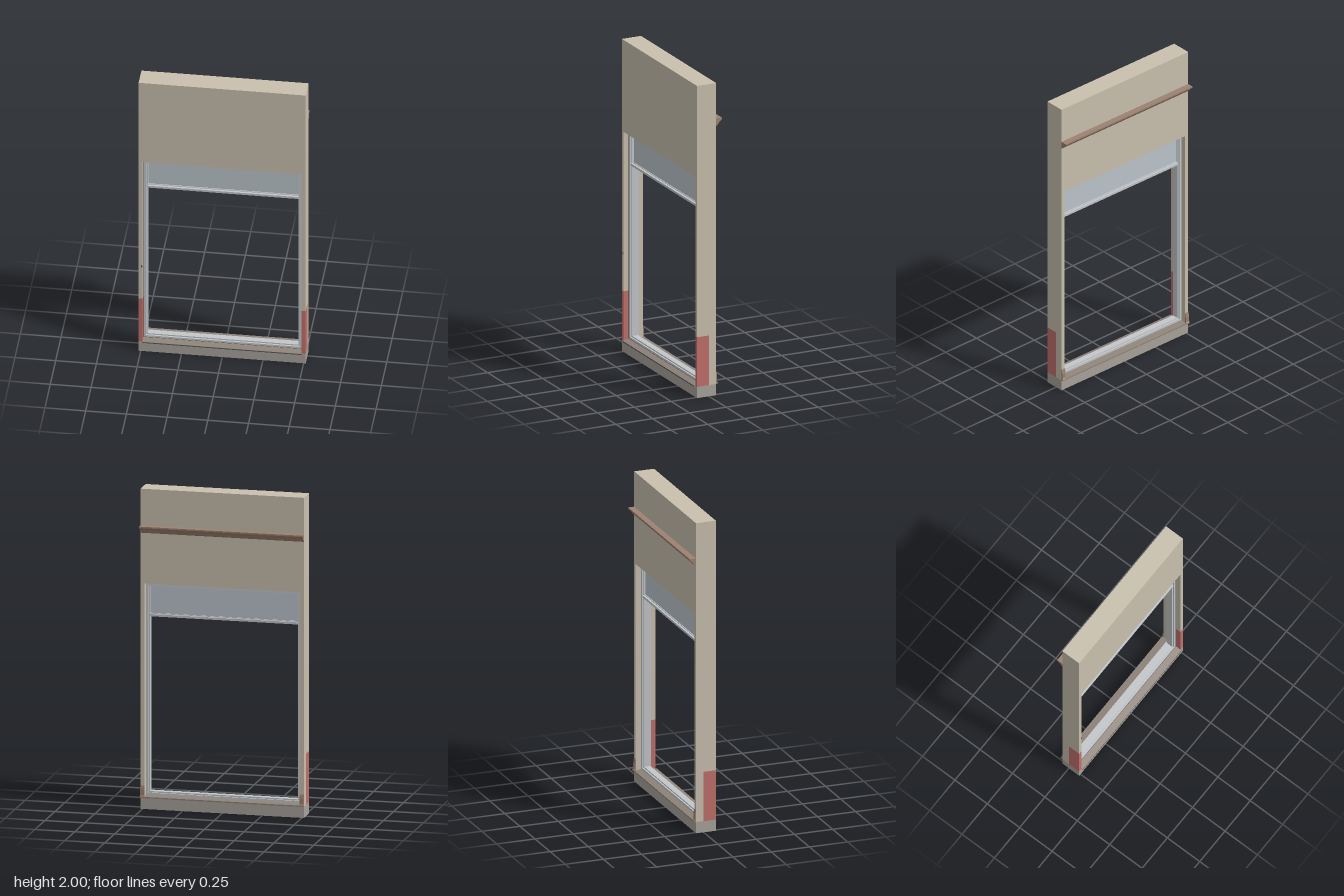
import * as THREE from 'three';

const mat = (name, color, side = THREE.FrontSide) => {
  const m = new THREE.MeshStandardMaterial({ color, side });
  m.name = name;
  return m;
};

export function createModel() {
  const model = new THREE.Group();
  model.name = 'windowWall';

  const plaster = mat('beige plaster', 0xc9c0ae);
  const stone = mat('grey base', 0xa8a29b);
  const red = mat('red insert', 0xc0706a);
  const frameMat = mat('pale grey frame', 0xc3c7ca);
  const glassMat = mat('blue grey pane', 0xbcc5cc);
  const brown = mat('brown trim', 0x9c8270);
  const sillMat = mat('taupe sill', 0x8f847a);
  const dark = mat('dark seal', 0x55565a);

  // Box given by its minimum and maximum on each axis
  const box = (name, m, x0, x1, y0, y1, z0, z1, parent = model) => {
    const mesh = new THREE.Mesh(new THREE.BoxGeometry(x1 - x0, y1 - y0, z1 - z0), m);
    mesh.position.set((x0 + x1) / 2, (y0 + y1) / 2, (z0 + z1) / 2);
    mesh.name = name;
    parent.add(mesh);
    return mesh;
  };
  // Profile of [z, y] points drawn along x
  const alongX = (name, m, shape, x0, x1) => {
    const geo = new THREE.ExtrudeGeometry(shape, { depth: x1 - x0, bevelEnabled: false, curveSegments: 8 });
    geo.rotateY(-Math.PI / 2); // shape x becomes z, depth becomes -x
    geo.translate(x1, 0, 0);
    const mesh = new THREE.Mesh(geo, m);
    mesh.name = name;
    model.add(mesh);
  };

  const W = 0.513, O = 0.488, BACK = -0.05, FRONT = 0.08;
  const BASE = 0.072, HEAD = 1.41, RED = 0.39;

  // Wall around the opening
  box('base', stone, -W, W, 0, BASE, BACK, FRONT);
  box('lintelWall', plaster, -W, W, HEAD, 2, BACK, FRONT);
  for (const [side, s] of [['left', 1], ['right', -1]]) {
    const a = Math.min(s * O, s * W), b = Math.max(s * O, s * W);
    box(side + 'Jamb', plaster, a, b, RED, HEAD, BACK, FRONT);
    box(side + 'JambFootBack', plaster, a, b, BASE, RED, BACK, 0);
    box(side + 'RedInsert', red, a, b, BASE, RED, 0, FRONT);
  }

  // Rectangular ring in the xy plane, from z0 to z1
  const ring = (name, m, x, y0, y1, t, z0, z1, parent) => {
    const s = new THREE.Shape([
      new THREE.Vector2(-x, y0), new THREE.Vector2(x, y0),
      new THREE.Vector2(x, y1), new THREE.Vector2(-x, y1)]);
    s.holes.push(new THREE.Path([
      new THREE.Vector2(-x + t, y0 + t), new THREE.Vector2(-x + t, y1 - t),
      new THREE.Vector2(x - t, y1 - t), new THREE.Vector2(x - t, y0 + t)]));
    const mesh = new THREE.Mesh(new THREE.ExtrudeGeometry(s, { depth: z1 - z0, bevelEnabled: false }), m);
    mesh.position.z = z0;
    mesh.name = name;
    parent.add(mesh);
  };

  // Window frame: outer ring, narrower inner step, transom and upper pane
  const win = new THREE.Group();
  win.name = 'window';
  model.add(win);
  ring('outerFrame', frameMat, O, 0.08, HEAD, 0.016, -0.015, 0.045, win);
  ring('innerFrame', frameMat, O - 0.016, 0.096, HEAD - 0.016, 0.008, -0.005, 0.035, win);
  box('transom', frameMat, -0.465, 0.465, 1.198, 1.212, -0.015, 0.045, win);
  ring('paneBead', frameMat, 0.472, 1.205, HEAD - 0.016, 0.011, -0.002, 0.03, win);
  box('upperPane', glassMat, -0.465, 0.465, 1.212, 1.388, 0.004, 0.024, win);
  ring('frameSeal', dark, O, 0.08, HEAD, 0.004, 0.0452, 0.047, win);

  // Sill, sloping gently to both faces of the wall
  alongX('sill', sillMat, new THREE.Shape([
    [-0.06, 0.07], [-0.05, 0.07], [0.08, 0.07], [0.08, 0.066], [0.088, 0.066],
    [0.088, 0.074], [0.045, 0.083], [-0.015, 0.083], [-0.06, 0.078],
  ].map(p => new THREE.Vector2(...p))), -O, O);
  box('sillFrontEdge', dark, -O, O, 0.067, 0.073, 0.088, 0.0895);

  // Small rounded end caps behind each end of the sill
  const cap = new THREE.Shape();
  cap.moveTo(-0.05, 0.072);
  cap.lineTo(-0.05, 0.15);
  cap.quadraticCurveTo(-0.056, 0.14, -0.057, 0.115);
  cap.lineTo(-0.057, 0.085);
  cap.lineTo(-0.063, 0.08);
  cap.lineTo(-0.063, 0.072);
  alongX('leftSillCap', brown, cap, 0.487, W);
  alongX('rightSillCap', brown, cap, -W, -0.487);

  // Cove moulding across the back
  const cove = new THREE.Shape();
  cove.moveTo(BACK, 1.772);
  cove.lineTo(-0.09, 1.772);
  cove.lineTo(-0.09, 1.763);
  cove.quadraticCurveTo(-0.072, 1.752, -0.062, 1.732);
  cove.lineTo(BACK, 1.725);
  alongX('backMoulding', brown, cove, -W, W);

  // Tiny catch on the right jamb
  box('catch', dark, -0.497, -0.489, 0.626, 0.64, 0.079, 0.084);

  return model;
}
